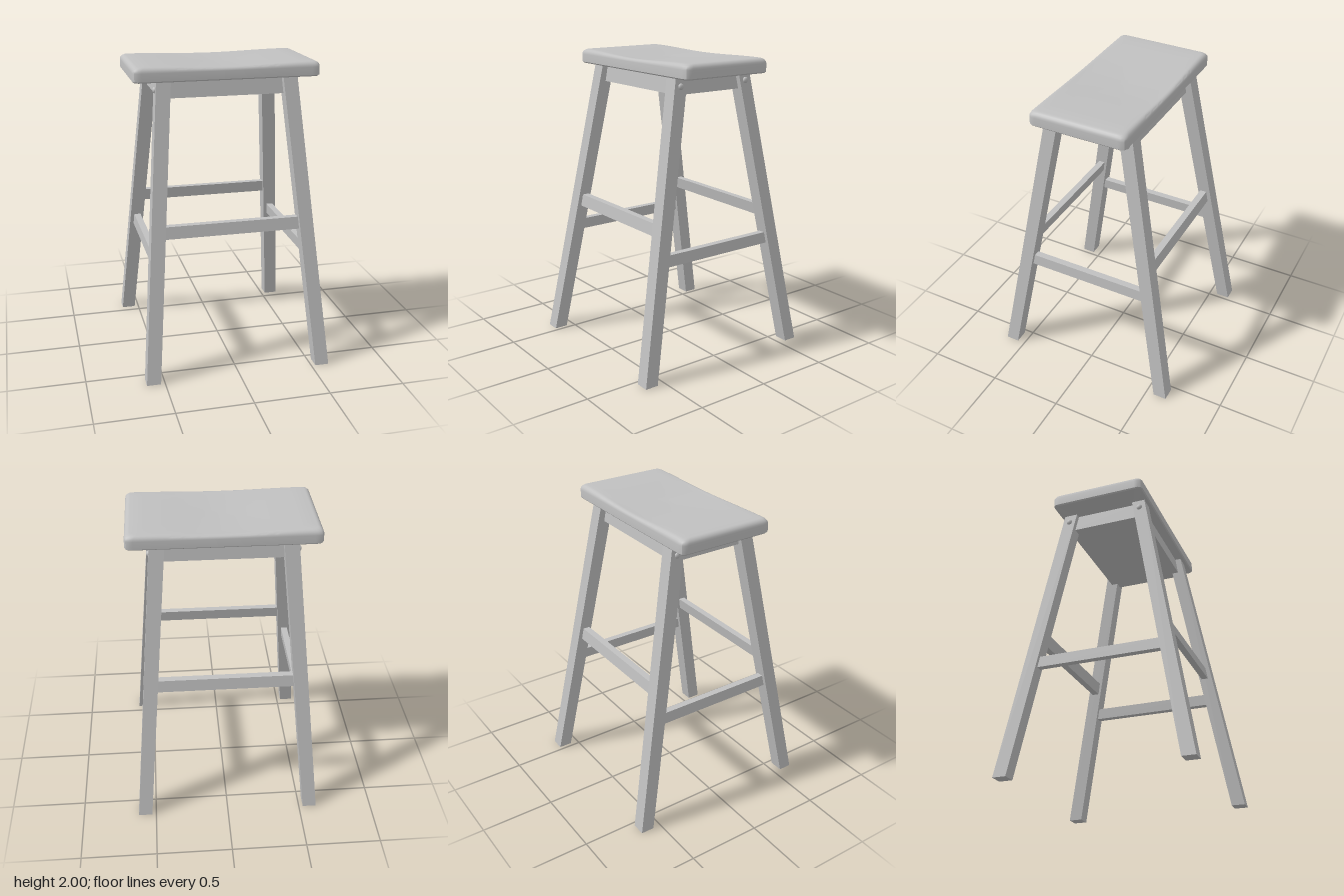
import * as THREE from 'three';
import { toCreasedNormals } from 'three/addons/utils/BufferGeometryUtils.js';

const paint = new THREE.MeshStandardMaterial({ color: 0xc0c0c0 });
paint.name = 'plain grey';

// Box whose bottom and top rectangles differ: [xCentre, zCentre, width, depth]
function slantedBox(name, y0, bottom, y1, top) {
  const g = new THREE.BoxGeometry(1, 1, 1);
  const p = g.attributes.position;
  for (let i = 0; i < p.count; i++) {
    const upper = p.getY(i) > 0;
    const [cx, cz, w, d] = upper ? top : bottom;
    p.setXYZ(i, cx + p.getX(i) * w, upper ? y1 : y0, cz + p.getZ(i) * d);
  }
  g.computeVertexNormals();
  const m = new THREE.Mesh(g, paint);
  m.name = name;
  return m;
}

// Saddle seat lofted through rounded-rectangle rings, bottom centre to top centre
function seatGeometry() {
  const hx = 0.605, hz = 0.325, r = 0.03;
  const s = new THREE.Shape();
  s.moveTo(-hx + r, -hz);
  s.lineTo(hx - r, -hz);
  s.absarc(hx - r, -hz + r, r, -Math.PI / 2, 0);
  s.lineTo(hx, hz - r);
  s.absarc(hx - r, hz - r, r, 0, Math.PI / 2);
  s.lineTo(-hx + r, hz);
  s.absarc(-hx + r, hz - r, r, Math.PI / 2, Math.PI);
  s.lineTo(-hx, -hz + r);
  s.absarc(-hx + r, -hz + r, r, Math.PI, Math.PI * 1.5);
  const outline = s.getSpacedPoints(160).slice(0, -1);
  const n = outline.length;

  // [inset, height, amount of dip, scale]
  const rings = [[0, 1.905, 0, 0.001], [0.008, 1.905, 0, 1], [0, 1.913, 0, 1], [0, 1.965, 0, 1]];
  for (let k = 1; k <= 5; k++) {
    const a = (k / 5) * Math.PI / 2;
    rings.push([0.035 * (1 - Math.cos(a)), 1.965 + 0.035 * Math.sin(a), k / 5, 1]);
  }
  for (const f of [0.85, 0.65, 0.45, 0.25, 0.1, 0.001]) rings.push([0.035, 2, 1 + 0.5 * (1 - f), f]);

  const pos = [], idx = [];
  for (const [inset, y, dip, f] of rings) {
    for (const p of outline) {
      const x = p.x * f * (hx - inset) / hx;
      const z = -p.y * f * (hz - inset) / hz;
      const sag = 0.015 * dip * (1 + Math.cos(Math.PI * Math.min(1, Math.abs(x) / 0.55))) / 2;
      pos.push(x, y - sag, z);
    }
  }
  for (let i = 0; i < rings.length - 1; i++) {
    for (let j = 0; j < n; j++) {
      const a = i * n + j, b = i * n + (j + 1) % n;
      idx.push(a, b, b + n, a, b + n, a + n);
    }
  }
  const g = new THREE.BufferGeometry();
  g.setAttribute('position', new THREE.Float32BufferAttribute(pos, 3));
  g.setIndex(idx);
  return toCreasedNormals(g, 0.7);
}

export function createModel() {
  const stool = new THREE.Group();
  stool.name = 'stool';

  const seat = new THREE.Mesh(seatGeometry(), paint);
  seat.name = 'seat';
  stool.add(seat);

  // Apron block under the seat
  stool.add(slantedBox('apron', 1.795, [0, 0, 0.87, 0.54], 1.906, [0, 0, 0.85, 0.51]));

  const boltGeometry = new THREE.SphereGeometry(0.02, 16, 10);
  for (const sx of [1, -1]) {
    for (const sz of [1, -1]) {
      // Splayed leg
      stool.add(slantedBox('leg', 0, [sx * 0.574, sz * 0.6, 0.092, 0.09],
        1.908, [sx * 0.412, sz * 0.25, 0.094, 0.09]));
      // Round bolt head on the outer side of the leg
      const bolt = new THREE.Mesh(boltGeometry, paint);
      bolt.name = 'bolt';
      bolt.scale.x = 0.65;
      bolt.position.set(sx * 0.464, 1.85, sz * 0.26);
      stool.add(bolt);
    }
  }

  // Stretchers, leaning with the legs
  for (const s of [1, -1]) {
    stool.add(slantedBox('longStretcher', 0.92, [0, s * 0.425, 0.97, 0.045],
      1.0, [0, s * 0.412, 0.97, 0.045]));
    stool.add(slantedBox('sideStretcher', 0.735, [s * 0.51, 0, 0.045, 0.9],
      0.81, [s * 0.504, 0, 0.045, 0.9]));
  }
  return stool;
}
